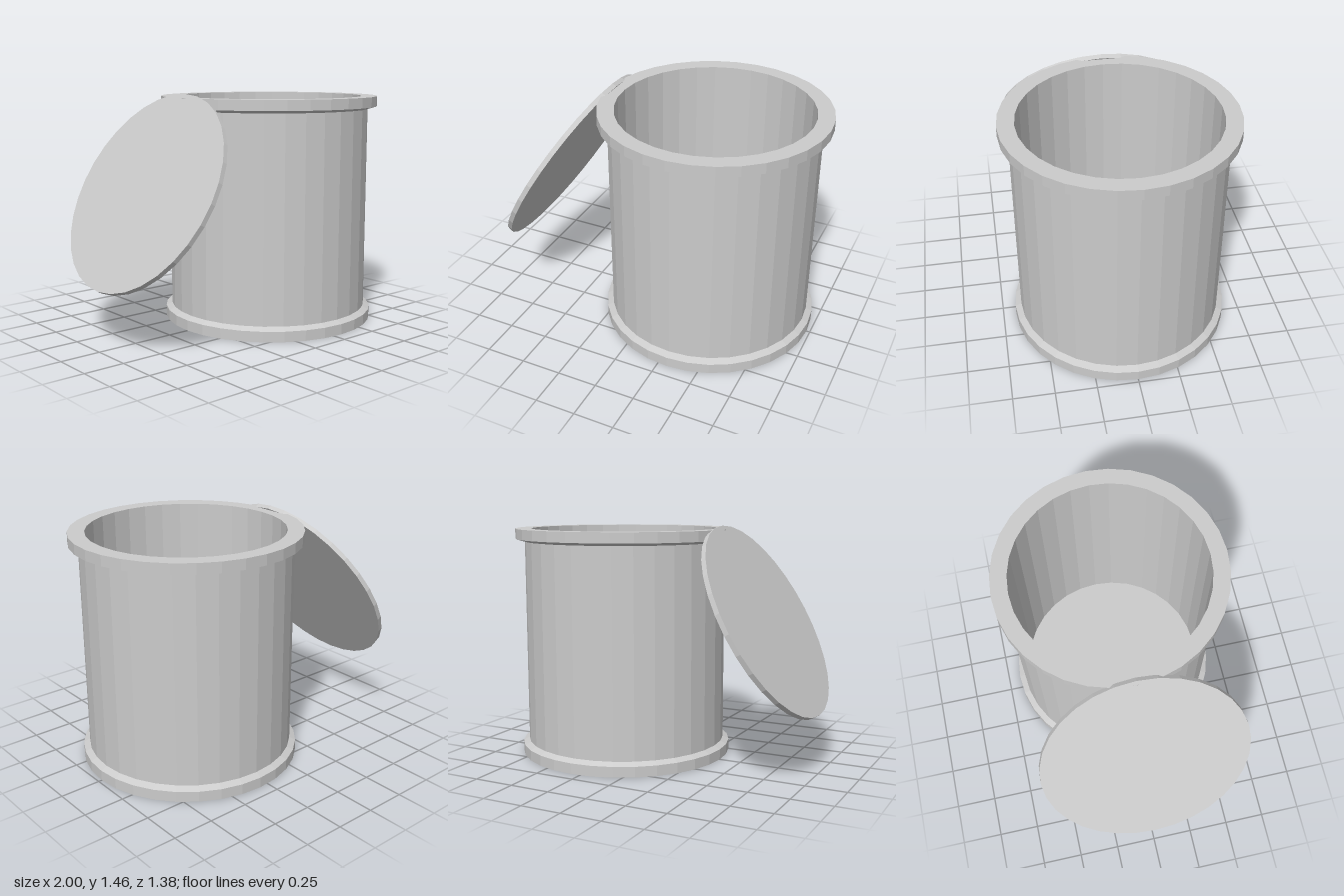
import * as THREE from 'three';

const SIDES = 32;
const material = new THREE.MeshStandardMaterial({ color: 0xcccccc, flatShading: true });

export function createModel() {
  const model = new THREE.Group();
  model.name = 'openCan';

  // Hollow body: floor, base flange, wall, rim and inner wall in one profile
  const profile = [
    [0, 0], [0.67, 0], [0.67, 0.065], [0.632, 0.085],
    [0.632, 1.353], [0.69, 1.37], [0.69, 1.433],
    [0.59, 1.433], [0.59, 0.065], [0, 0.065],
  ].map(([r, y]) => new THREE.Vector2(r, y));
  const body = new THREE.Mesh(new THREE.LatheGeometry(profile, SIDES), material);
  body.name = 'body';
  body.position.x = 0.308;
  model.add(body);

  // Lid: thin disc leaning against the rim
  const lid = new THREE.Mesh(new THREE.CylinderGeometry(0.635, 0.635, 0.03, SIDES), material);
  lid.name = 'lid';
  lid.position.set(-0.67, 0.9, 0);
  lid.rotation.z = Math.PI / 3;
  model.add(lid);

  return model;
}
